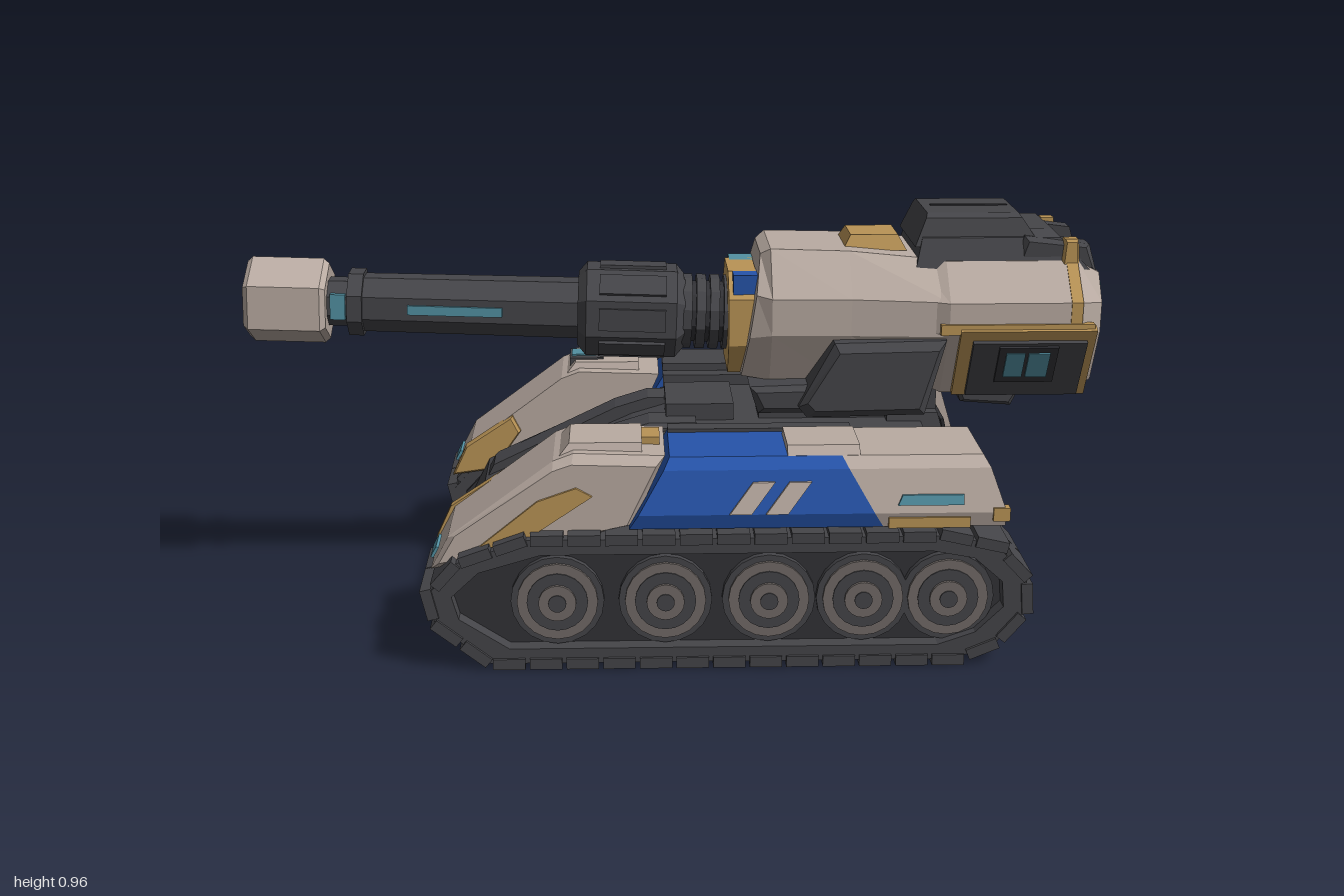
import * as THREE from 'three';

const mat = (name, color) => Object.assign(new THREE.MeshStandardMaterial({ color }), { name });

export function createModel() {
  const root = new THREE.Group();
  root.name = 'tank';
  const armor = mat('warm grey armor', 0xb9aba2), dark = mat('dark metal', 0x454549), deep = mat('black metal', 0x323236),
    blue = mat('blue paint', 0x2654aa), gold = mat('gold trim', 0xba9456), teal = mat('teal glass', 0x5290a2),
    steel = mat('wheel steel', 0x716a67);

  const add = (name, geo, m, parent = root) => {
    const mesh = new THREE.Mesh(geo, m);
    mesh.name = name;
    parent.add(mesh);
    return mesh;
  };

  // Closed faceted solid from matching rings of [x, y, z]
  const solid = (rings) => {
    const tris = [], n = rings[0].length, last = rings[rings.length - 1];
    for (let r = 0; r + 1 < rings.length; r++) {
      for (let i = 0; i < n; i++) {
        const j = (i + 1) % n, a = rings[r], b = rings[r + 1];
        tris.push([a[i], a[j], b[j]], [a[i], b[j], b[i]]);
      }
    }
    for (let i = 1; i < n - 1; i++) {
      tris.push([rings[0][0], rings[0][i + 1], rings[0][i]], [last[0], last[i], last[i + 1]]);
    }
    const o = new THREE.Vector3(...rings[0][0]);
    let volume = 0;
    for (const t of tris) {
      const [a, b, c] = t.map((p) => new THREE.Vector3(...p).sub(o));
      volume += a.dot(b.cross(c));
    }
    if (volume < 0) tris.forEach((t) => t.reverse());
    const g = new THREE.BufferGeometry();
    g.setAttribute('position', new THREE.Float32BufferAttribute(tris.flat(2), 3));
    g.computeVertexNormals();
    return g;
  };

  // Side outline [x, y] carried from z0 to z1, with the z1 edge chamfered by b
  const prism = (pts, z0, z1, b = 0.012) => {
    const box = new THREE.Box2().setFromPoints(pts.map((p) => new THREE.Vector2(...p)));
    const c = box.getCenter(new THREE.Vector2()), d = box.getSize(new THREE.Vector2());
    const small = pts.map(([x, y]) => [c.x + (x - c.x) * (1 - 2 * b / d.x), c.y + (y - c.y) * (1 - 2 * b / d.y), z1]);
    return solid([pts.map((p) => [...p, z0]), pts.map((p) => [...p, z1 - Math.sign(z1 - z0) * b]), small]);
  };
  // Cross-section [z, y] between two ends whose x may depend on y
  const slab = (sec, xa, xb) => solid([xa, xb].map((f) => sec.map(([z, y]) => [typeof f === 'number' ? f : f(y), y, z])));
  const slope = (y0, x0, y1, x1) => (y) => x0 + (x1 - x0) * (y - y0) / (y1 - y0);
  const box = (x0, x1, y0, y1, z0, z1) => new THREE.BoxGeometry(x1 - x0, y1 - y0, Math.abs(z1 - z0))
    .translate((x0 + x1) / 2, (y0 + y1) / 2, (z0 + z1) / 2);
  const plate = (pts, off) => solid([pts, pts.map((p) => p.map((v, i) => v + off[i]))]);
  const tube = (x0, x1, r0, r1, sides) => {
    const g = new THREE.CylinderGeometry(r1, r0, x1 - x0, sides).toNonIndexed()
      .rotateY(Math.PI / sides).rotateZ(-Math.PI / 2).translate((x0 + x1) / 2, 0, 0);
    g.computeVertexNormals();
    return g;
  };

  // Hull
  add('hull', prism([[-.42, .1], [-.5, .19], [-.46, .27], [-.1, .43], [0, .46], [.58, .46], [.66, .3], [.64, .1]], -.2, .2, .01), dark);
  add('rearPlate', slab([[-.11, .14], [.11, .14], [.13, .3], [.11, .48], [-.11, .48], [-.13, .3]], .5, slope(.14, .72, .48, .62)), dark);
  add('rearSill', box(.66, .73, .14, .19, -.11, .11), deep);
  add('rearVent', plate([[.648, .4, -.055], [.648, .4, .055], [.635, .45, .07], [.635, .45, -.07]], [.008, .002, 0]), deep);
  add('neck', box(.2, .62, .44, .58, -.08, .08), dark);
  add('deckBlock', box(-.02, .14, .45, .5, -.09, .09), dark);

  const track = [[-.42, .014], [.62, .012], [.71, .05], [.776, .13], [.77, .21], [.7, .285], [.6, .308], [-.34, .308],
    [-.49, .255], [-.556, .18], [-.54, .11]];
  const path = new THREE.CurvePath();
  track.forEach((p, i) => path.add(new THREE.LineCurve(new THREE.Vector2(...p), new THREE.Vector2(...track[(i + 1) % track.length]))));
  const bandShape = new THREE.Shape(track.map((p) => new THREE.Vector2(...p)));
  bandShape.holes.push(new THREE.Path(track.map(([x, y]) => new THREE.Vector2(.11 + (x - .11) * .92, .16 + (y - .16) * .76))));

  // Fender cross-section, outer side rounded off
  const fenderSec = (s) => [[.21, .325], [.445, .325], [.455, .36], [.43, .455], [.405, .478], [.21, .478]].map(([z, y]) => [z * s, y]);
  const faceZ = (y) => .455 - .263 * (y - .36);

  for (const s of [1, -1]) {
    const side = new THREE.Group();
    side.name = s > 0 ? 'frontSideTrack' : 'backSideTrack';
    root.add(side);

    // Track band, pads and wheels
    add('trackBand', new THREE.ExtrudeGeometry(bandShape, { depth: .25, bevelEnabled: false }).translate(0, 0, s > 0 ? .212 : -.462), dark, side);
    add('trackCore', prism(track.map(([x, y]) => [.11 + (x - .11) * .95, .16 + (y - .16) * .9]), s * .2, s * .425, .004), deep, side);
    const pads = 36;
    for (let i = 0; i < pads; i++) {
      const p = path.getPointAt((i + .5) / pads), t = path.getTangentAt((i + .5) / pads);
      for (const [z, w] of [[.274, .122], [.404, .13]]) {
        const pad = add('trackPad', new THREE.BoxGeometry(.072, .025, w), dark, side);
        pad.position.set(p.x, p.y, s * z);
        pad.rotation.z = Math.atan2(t.y, t.x);
      }
    }
    const rimColor = s > 0 ? steel : dark;
    for (const x of [-.27, -.03, .2, .41, .6]) {
      const wheel = new THREE.Group();
      wheel.name = 'wheel';
      wheel.position.set(x, .155, 0);
      side.add(wheel);
      const disc = (name, r, z, m) => add(name, new THREE.CylinderGeometry(r, r, .06, 20).rotateX(Math.PI / 2).translate(0, 0, s * (z - .03)), m, wheel);
      disc('tyre', .104, .44, dark);
      disc('rim', .09, .447, rimColor);
      disc('dish', .068, .45, dark);
      disc('hub', .042, .457, rimColor);
      disc('hubCap', .02, .46, dark);
    }
    add('innerCasing', prism([[-.4, .06], [-.5, .14], [-.44, .27], [-.3, .34], [.6, .38], [.7, .2], [.66, .06]], s * .22, s * .16, .02), dark, side);
    add('prowBlock', prism([[-.47, .24], [-.44, .3], [-.14, .445], [-.06, .47], [.05, .47], [.05, .4]], s * .06, s * .15, .01), dark, side);

    // Front fender
    add('frontFender', prism([[-.55, .225], [-.51, .3], [-.275, .475], [-.23, .492], [-.03, .485], [-.1, .325], [-.42, .25]], s * .21, s * .435, .02), armor, side);
    add('frontFenderTop', slab([[.235, .47], [.4, .47], [.385, .506], [.25, .506]].map(([z, y]) => [z * s, y]), slope(.47, -.27, .506, -.24), -.08), armor, side);
    add('fenderSideTrim', plate([[-.44, .285, s * .433], [-.36, .285, s * .433], [-.19, .4, s * .433], [-.225, .42, s * .433], [-.31, .39, s * .433]], [0, 0, s * .009]), gold, side);
    add('fenderToeTrim', prism([[-.555, .225], [-.52, .3], [-.4, .38], [-.38, .34], [-.45, .24]], s * .225, s * .195, .006), gold, side);
    add('headlight', plate([[-.549, .232, s * .29], [-.549, .232, s * .37], [-.536, .256, s * .37], [-.536, .256, s * .29]], [-.006, .003, 0]), teal, side);

    // Blue mid panel with two slanted stripes
    add('bluePanel', slab(fenderSec(s), slope(.325, -.11, .478, -.02), slope(.325, .45, .478, .36)), blue, side);
    for (const x of [.11, .19]) {
      add('stripe', plate([[x, .362], [x + .048, .362], [x + .1, .43], [x + .052, .43]].map(([a, y]) => [a, y, s * (faceZ(y) - .001)]), [0, 0, s * .008]), armor, side);
    }
    add('panelCap', slab([[.245, .47], [.41, .47], [.39, .498], [.26, .498]].map(([z, y]) => [z * s, y]), .24, .4), armor, side);
    add('fenderInnerRail', box(-.02, .4, .44, .486, s * .195, s * .235), dark, side);

    // Rear fender
    add('rearFender', slab(fenderSec(s), slope(.325, .45, .478, .36), (y) => (y > .39 ? .725 - (y - .39) * .6 : .72)), armor, side);
    add('rearSlot', plate([[.48, .378], [.625, .378], [.625, .4], [.49, .4]].map(([a, y]) => [a, y, s * (faceZ(y) - .002)]), [0, 0, s * .008]), teal, side);
    add('rearFenderTrim', box(.46, .64, .326, .35, s * .44, s * .458), gold, side);
    add('rearCornerTrim', box(.69, .727, .34, .37, s * .435, s * .459), gold, side);

    // Turret cheeks and side windows
    add('cheek', prism([[.28, .53], [.36, .68], [.615, .685], [.57, .51], [.3, .505]], s * .1, s * .236, .02), dark);
    add('cheekSkirt', prism([[.19, .507], [.17, .57], [.5, .58], [.5, .507]], s * .05, s * .2, .015), dark);
    const slant = (name, x0, x1, t0, t1, lift, m) => {
      const pt = (x, t) => [x, .535 + .175 * t - lift * .5, s * (.125 + .09 * t + lift * .85)];
      add(name, plate([pt(x0, t0), pt(x1, t0), pt(x1, t1), pt(x0, t1)], [0, -.009, s * .016]), m);
    };
    slant('windowFrame', .645, .955, .02, 1.02, -.006, gold);
    slant('windowPanel', .675, .935, .06, .88, .004, dark);
    slant('windowBorder', .735, .87, .3, .84, .01, deep);
    slant('sideWindowRear', .803, .852, .4, .76, .014, teal);
    slant('sideWindowFront', .752, .795, .4, .76, .014, teal);
    add('shoulderTrim', box(.6, .95, .698, .722, s * .2, s * .222), gold);
    const bandEdge = [[.136, .852], [.217, .771], [.217, .7], [.19, .7], [.19, .765], [.12, .84]].map(([z, y]) => [z * s, y]);
    add('sideBand', slab(bandEdge, .895, .921), gold);
    add('rearTrim', prism([[.88, .78], [.89, .9], [.92, .9], [.93, .78]], s * .11, s * .142, .006), gold);
    add('hatchPod', prism([[.78, .83], [.8, .905], [.95, .885], [.97, .82]], s * .07, s * .13, .012), dark);
    add('rearLampFrame', box(.95, .977, .768, .8, s * .062, s * .125), deep);
    add('rearLamp', box(.97, .982, .774, .796, s * .068, s * .12), teal);
  }
  add('engineBox', box(-.02, .24, .47, .5, -.385, -.25), dark);
  add('fenderVentFrame', box(-.255, -.17, .49, .51, -.365, -.275), dark);
  add('fenderVent', box(-.25, -.19, .505, .514, -.35, -.295), teal);
  add('capTrim', box(-.08, -.04, .475, .503, .27, .34), gold);

  // Turret body: half width and height of top, shoulder, waist and floor
  const section = (x, tz, ty, sz, sy, wy, bz, by, lean = 0) => {
    const half = [[tz, ty], [sz, sy], [sz, wy], [bz, by]];
    return [...half, ...half.map(([z, y]) => [-z, y]).reverse()].map(([z, y]) => [x + lean * (y - by), y, z]);
  };
  add('turretFront', solid([section(.155, .085, .86, .165, .78, .68, .11, .575, .15), section(.22, .105, .875, .185, .775, .69, .13, .57),
    section(.4, .11, .87, .19, .775, .69, .13, .56), section(.62, .12, .85, .205, .77, .69, .12, .55)]), armor);
  add('turretRear', solid([section(.56, .11, .84, .19, .77, .69, .11, .56), section(.62, .135, .85, .215, .77, .705, .125, .535),
    section(.92, .135, .85, .215, .77, .705, .125, .535), section(.975, .125, .82, .17, .76, .69, .11, .56)]), armor);
  add('turretChin', prism([[.66, .55], [.68, .495], [.8, .485], [.83, .55]], -.08, .08, .01), dark);
  add('collar', solid([section(.125, .07, .815, .125, .76, .65, .08, .575), section(.19, .07, .815, .125, .76, .65, .08, .575)]), gold);
  for (const [s, m] of [[1, blue], [-1, teal]]) add('collarInset', box(.135, .21, .755, .815, s * .05, s * .115), m);
  add('collarSideInset', box(.14, .18, .66, .72, -.11, -.132), blue);
  add('topLatch', slab([[-.075, .86], [.065, .86], [.05, .895], [-.06, .895]], slope(.86, .39, .895, .41), slope(.86, .54, .895, .52)), gold);

  // Roof housing
  add('roofHousing', slab([[-.14, .83], [.14, .83], [.115, .9], [.09, .915], [-.09, .915], [-.115, .9]], slope(.83, .55, .915, .57), slope(.83, .95, .915, .87)), dark);
  add('roofHatch', slab([[-.118, .88], [.118, .88], [.1, .943], [.085, .953], [-.085, .953], [-.1, .943]], slope(.88, .55, .953, .58), slope(.88, .84, .953, .79)), dark);
  add('roofGroove', box(.6, .78, .95, .956, -.004, .004), deep);

  // Rear sensor
  const sensor = new THREE.Group();
  sensor.name = 'rearSensor';
  sensor.position.set(0, .7, 0);
  root.add(sensor);
  add('sensorRing', tube(.93, .985, .105, .095, 8), dark, sensor);
  add('sensorRim', tube(.98, .995, .09, .075, 8), deep, sensor);
  add('sensorLens', tube(.98, 1, .07, .066, 6).scale(1, 1, .85), teal, sensor);
  add('sensorTrim', box(.95, .985, .095, .104, -.04, .04), gold, sensor);

  // Gun, tilted slightly upward
  const gun = new THREE.Group();
  gun.name = 'gun';
  gun.position.set(.1, .7, -.005);
  gun.rotation.z = -.036;
  root.add(gun);
  for (let i = 0; i < 4; i++) add('recoilRing', tube(-.08 + i * .032, -.058 + i * .032, .088, .088, 12), dark, gun);
  add('recoilCore', tube(-.1, .12, .072, .072, 12), deep, gun);
  [[-.325, -.305, .088, .112], [-.305, -.095, .112, .112], [-.095, -.075, .112, .088]].forEach((a) => add('sleeve', tube(...a, 8), dark, gun));
  for (let i = 0; i < 8; i++) add('sleeveRib', box(-.275, -.12, .09, .111, -.026, .026), dark, gun).rotation.x = i * Math.PI / 4;
  add('barrel', tube(-.86, -.3, .069, .073, 8), dark, gun);
  add('barrelRing', tube(-.86, -.825, .08, .08, 8), dark, gun);
  add('barrelTip', tube(-.93, -.85, .058, .058, 8), dark, gun);
  for (const s of [1, -1]) {
    add('barrelGlow', box(-.72, -.5, -.011, .011, s * .06, s * .072), teal, gun);
    add('tipGlow', box(-.9, -.865, -.03, .03, s * .04, s * .06), teal, gun);
  }
  // Hexagonal muzzle with a recessed bore
  const hex = (x, r) => Array.from({ length: 6 }, (_, k) => [x, r * Math.cos(k * Math.PI / 3), r * Math.sin(k * Math.PI / 3)]);
  add('muzzle', solid([hex(-.908, .09), hex(-.92, .102), hex(-1.085, .102), hex(-1.097, .09), hex(-1.097, .074), hex(-1.02, .068)]), armor, gun);
  add('bore', solid([hex(-1.01, .072), hex(-1.075, .072)]), deep, gun);
  return root;
}
